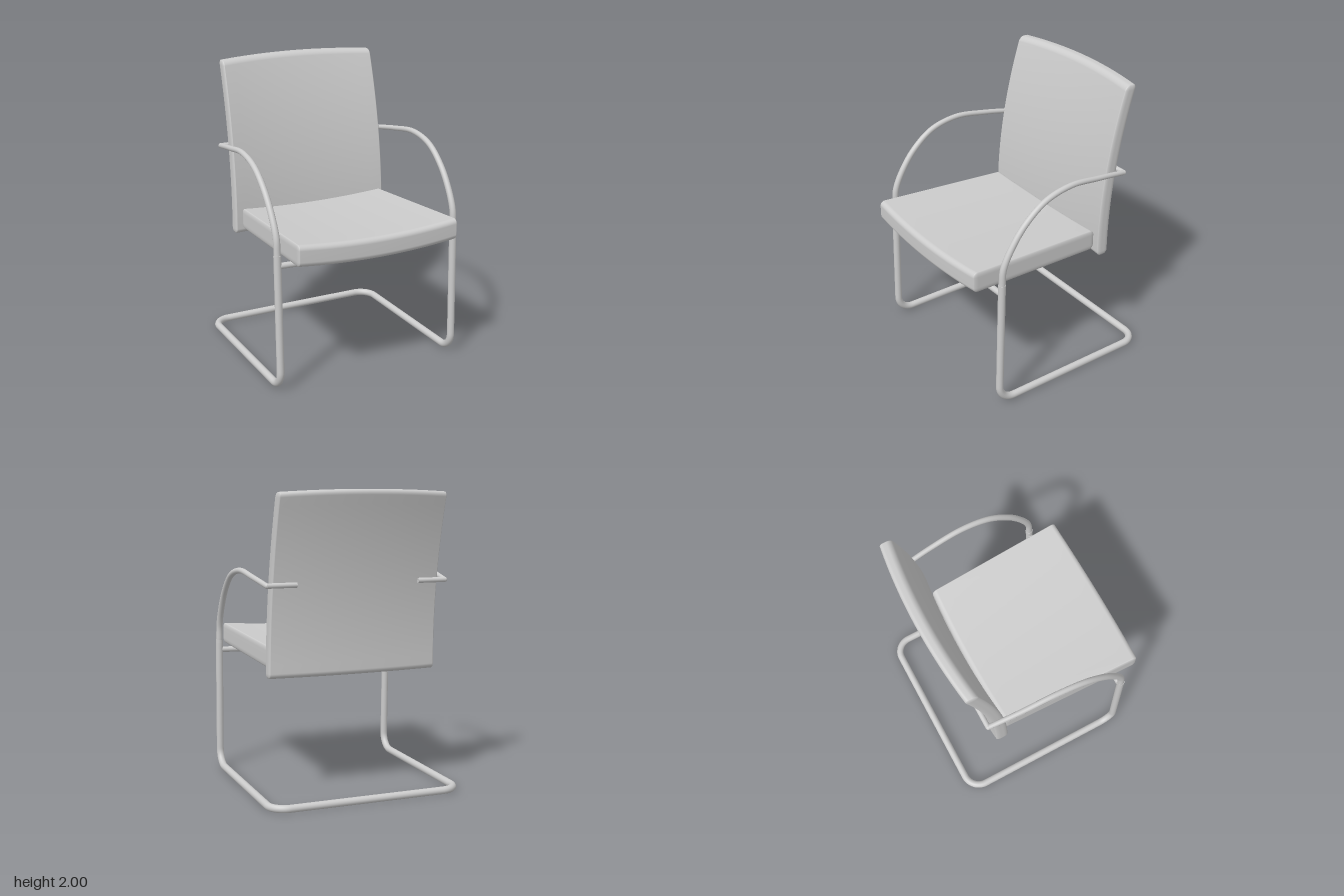
import * as THREE from 'three';
import { mergeVertices } from 'three/addons/utils/BufferGeometryUtils.js';

const material = new THREE.MeshStandardMaterial({ color: 0xcccccc });
const V = (x, y, z) => new THREE.Vector3(x, y, z);

function addMesh(group, name, geometry) {
  const mesh = new THREE.Mesh(geometry, material);
  mesh.name = name;
  group.add(mesh);
  return mesh;
}

// Polyline whose inner corners are rounded by the given radius
function roundedPath(points, radius) {
  const path = new THREE.CurvePath();
  let from = points[0];
  for (let i = 1; i < points.length - 1; i++) {
    const corner = points[i];
    const toward = (p) => corner.clone().add(p.clone().sub(corner).setLength(radius));
    const a = toward(points[i - 1]), b = toward(points[i + 1]);
    // Cubic handles at 0.55 of the radius follow a quarter circle
    path.add(new THREE.LineCurve3(from, a));
    path.add(new THREE.CubicBezierCurve3(a, a.clone().lerp(corner, 0.55), b.clone().lerp(corner, 0.55), b));
    from = b;
  }
  path.add(new THREE.LineCurve3(from, points[points.length - 1]));
  return path;
}

// Tube that narrows evenly from r0 to r1
function taperedTube(curve, segments, r0, r1, sides = 16) {
  const geometry = new THREE.TubeGeometry(curve, segments, r0, sides);
  const pos = geometry.attributes.position, p = new THREE.Vector3();
  for (let i = 0; i < pos.count; i++) {
    const t = Math.floor(i / (sides + 1)) / segments;
    const centre = curve.getPointAt(t);
    p.fromBufferAttribute(pos, i).sub(centre).multiplyScalar(1 + t * (r1 / r0 - 1)).add(centre);
    pos.setXYZ(i, p.x, p.y, p.z);
  }
  return geometry;
}

// Box with rounded edges (own radius per axis) and enough segments to be bent by a rule
function cushion(half, radius, inner, bend) {
  const k = 4;
  const n = inner.map((c) => c + 2 * k);
  const geometry = new THREE.BoxGeometry(1, 1, 1, ...n);
  geometry.deleteAttribute('uv');
  geometry.deleteAttribute('normal');
  const pos = geometry.attributes.position;
  for (let v = 0; v < pos.count; v++) {
    const core = [], d = [];
    for (let a = 0; a < 3; a++) {
      const i = Math.round((pos.getComponent(v, a) + 0.5) * n[a]);
      const h = half[a] - radius[a];
      const low = Math.max(0, k - i), high = Math.max(0, i - (n[a] - k));
      core[a] = THREE.MathUtils.clamp((2 * (i - k)) / inner[a] - 1, -1, 1) * h;
      d[a] = Math.tan(((high - low) / k) * Math.PI / 4);
    }
    const length = Math.hypot(...d);
    const q = core.map((c, a) => c + (d[a] / length) * radius[a]);
    pos.setXYZ(v, ...bend(...q));
  }
  const merged = mergeVertices(geometry, 1e-5);
  merged.computeVertexNormals();
  return merged;
}

export function createModel() {
  const chair = new THREE.Group();
  chair.name = 'cantileverChair';

  // Seat: dished across, tapering and sloping down to the rear
  addMesh(chair, 'seat', cushion([0.58, 0.072, 0.5], [0.012, 0.035, 0.035], [16, 2, 12], (x, y, z) => {
    const bow = 1 - (x / 0.58) ** 2, t = z + 0.5;
    return [
      x * (0.54 + 0.04 * t) / 0.58,
      y + 0.915 + 0.048 * t - 0.027 * bow,
      z + 0.17 + 0.018 * bow * (2 * t - 1),
    ];
  }));

  // Backrest: curved around the sitter and leaning back toward the top
  addMesh(chair, 'backrest', cushion([0.58, 0.6, 0.043], [0.012, 0.035, 0.032], [16, 20, 2], (x, y, z) => {
    const bow = 1 - (x / 0.58) ** 2, t = (y + 0.6) / 1.2;
    return [
      x * (0.585 - 0.013 * t) / 0.58,
      y + 1.4 - 0.018 * (1 - bow) * t,
      z - 0.373 + 0.01 * t - 0.2 * t * t - (0.03 + 0.015 * t) * bow,
    ];
  }));

  // Base frame: one bent tube forming both front legs, the runners and the rear bar
  const r = 0.025, side = 0.65;
  const framePath = roundedPath([
    V(side, 0.93, 0.508), V(side, r, 0.532), V(side, r, -0.672),
    V(-side, r, -0.672), V(-side, r, 0.532), V(-side, 0.93, 0.508),
  ], 0.115);
  addMesh(chair, 'baseFrame', new THREE.TubeGeometry(framePath, 320, r, 16));

  // Crossbar under the front of the seat
  const barCurve = new THREE.QuadraticBezierCurve3(V(-side, 0.862, 0.51), V(0, 0.842, 0.51), V(side, 0.862, 0.51));
  addMesh(chair, 'crossbar', new THREE.TubeGeometry(barCurve, 24, 0.02, 16));

  for (const s of [1, -1]) {
    const arm = new THREE.Group();
    arm.name = s > 0 ? 'leftArm' : 'rightArm';
    chair.add(arm);

    // Sweeping armrest
    const armCurve = new THREE.CatmullRomCurve3([
      V(0.65, 0.925, 0.508), V(0.65, 1.04, 0.497), V(0.651, 1.17, 0.436), V(0.652, 1.305, 0.333),
      V(0.652, 1.42, 0.18), V(0.648, 1.466, -0.02), V(0.637, 1.441, -0.26), V(0.617, 1.405, -0.487),
    ].map((p) => p.setX(p.x * s)));
    addMesh(arm, 'armrest', taperedTube(armCurve, 80, 0.0225, 0.017));

    // Closed top of the leg where the armrest plugs in
    const collar = addMesh(arm, 'legCollar', new THREE.CylinderGeometry(r, r, 0.02, 16));
    collar.position.set(s * side, 0.922, 0.508);

    // Rod running inward behind the backrest
    const rod = addMesh(arm, 'backRod', new THREE.CylinderGeometry(0.017, 0.017, 0.2, 16));
    rod.rotation.z = Math.PI / 2;
    rod.position.set(s * 0.52, 1.405, -0.49);
    const elbow = addMesh(arm, 'rodElbow', new THREE.SphereGeometry(0.0175, 16, 12));
    elbow.position.set(s * 0.617, 1.405, -0.489);
  }

  return chair;
}
